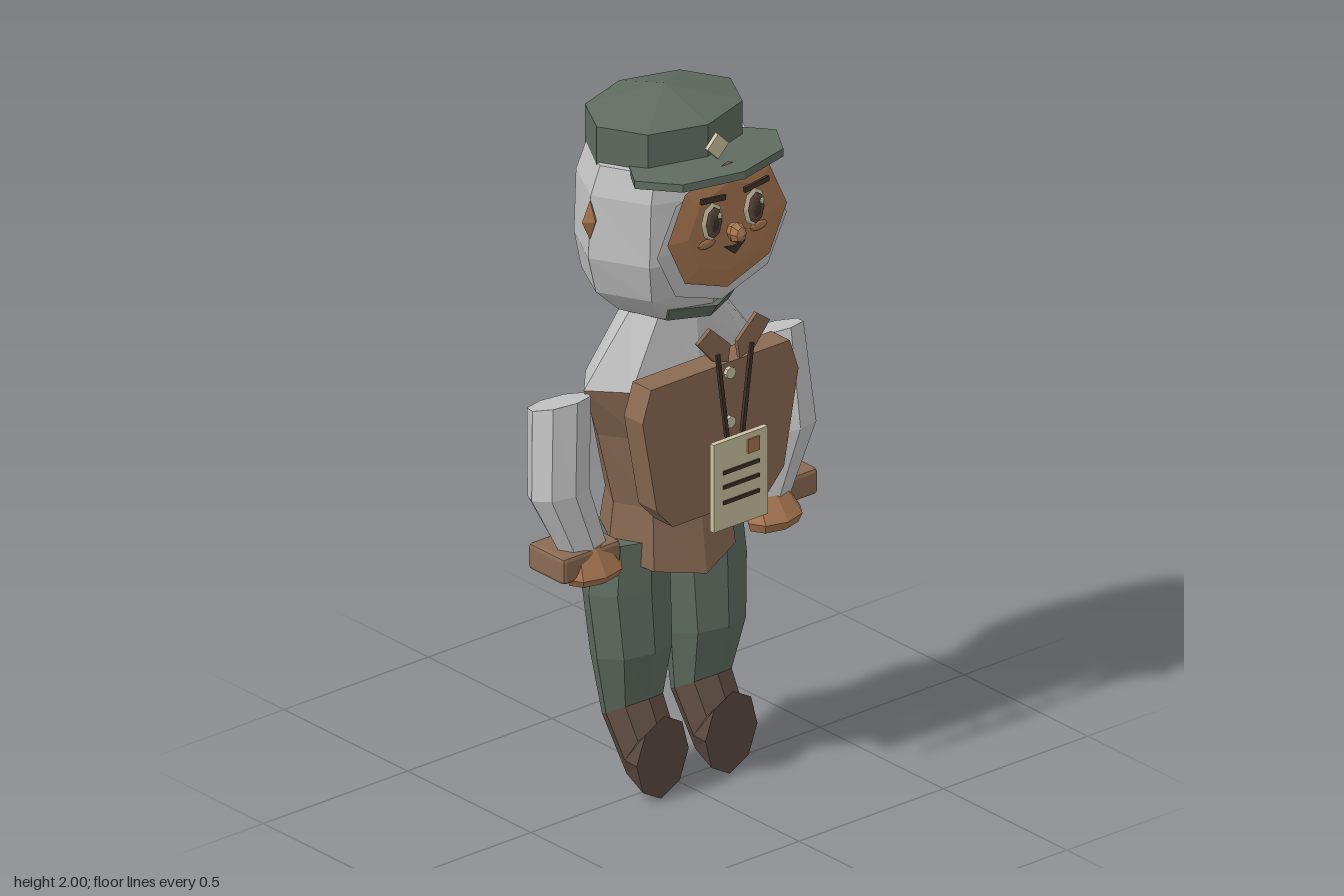
import * as THREE from 'three';
import { RoundedBoxGeometry } from 'three/addons/geometries/RoundedBoxGeometry.js';

function paint(name, color) {
  const m = new THREE.MeshStandardMaterial({ color, flatShading: true, side: THREE.DoubleSide });
  m.name = name;
  return m;
}

// Eight-sided skin over rings [xCentre, xRadius, zFront, yFront, zBack, yBack, sideLift], listed from top to bottom
function loft(rings, segments = [0, 1, 2, 3, 4, 5, 6, 7], caps = true) {
  const pos = [];
  const pt = ([xc, rx, zf, yf, zb, yb, lift = 0], i) => {
    const a = (i * Math.PI) / 4, s = Math.sin(a), c = Math.cos(a);
    return [xc + rx * c, (yf + yb) / 2 + ((yf - yb) / 2) * s + lift * c * c, (zf + zb) / 2 + ((zf - zb) / 2) * s];
  };
  const mid = ([xc, , zf, yf, zb, yb]) => [xc, (yf + yb) / 2, (zf + zb) / 2];
  for (let j = 0; j < rings.length - 1; j++) {
    for (const i of segments) {
      const a = pt(rings[j], i), b = pt(rings[j], i + 1), c = pt(rings[j + 1], i), d = pt(rings[j + 1], i + 1);
      pos.push(...a, ...b, ...c, ...b, ...d, ...c);
    }
  }
  if (caps) {
    const top = rings[0], end = rings[rings.length - 1];
    for (const i of segments) {
      pos.push(...mid(top), ...pt(top, i + 1), ...pt(top, i));
      pos.push(...mid(end), ...pt(end, i), ...pt(end, i + 1));
    }
  }
  const g = new THREE.BufferGeometry();
  g.setAttribute('position', new THREE.Float32BufferAttribute(pos, 3));
  g.computeVertexNormals();
  return g;
}

// Flattened eight-sided lens facing +z
const lens = (rx, ry, rz) => new THREE.SphereGeometry(1, 8, 4).rotateX(Math.PI / 2).scale(rx, ry, rz);

function plate(points, depth) {
  const shape = new THREE.Shape(points.map(([x, y]) => new THREE.Vector2(x, y)));
  return new THREE.ExtrudeGeometry(shape, { depth, bevelEnabled: false });
}

export function createModel() {
  const green = paint('uniform green', 0x5f6c60);
  const grey = paint('light grey', 0xc2c2c2);
  const brown = paint('vest brown', 0x8b6b54);
  const skin = paint('skin', 0xa87650);
  const boot = paint('boot brown', 0x5c4a40);
  const cream = paint('cream', 0xcdc4a2);
  const dark = paint('dark brown', 0x40332b);

  const model = new THREE.Group();
  model.name = 'uniformedFigure';
  const body = new THREE.Group();
  body.name = 'body';
  body.position.x = 0.015;
  model.add(body);
  const add = (name, geometry, material, x = 0, y = 0, z = 0, rz = 0) => {
    const mesh = new THREE.Mesh(geometry, material);
    mesh.name = name;
    mesh.position.set(x, y, z);
    mesh.rotation.z = rz;
    body.add(mesh);
    return mesh;
  };
  const box = (w, h, d) => new THREE.BoxGeometry(w, h, d);

  // Cap: wall, low pointed crown, brim and diamond badge
  add('capBand', new THREE.CylinderGeometry(1, 1, 0.115, 8).scale(0.232, 1, 0.18), green, 0, 1.885, -0.065);
  add('capCrown', new THREE.ConeGeometry(1, 0.058, 8).scale(0.232, 1, 0.18), green, 0, 1.971, -0.065);
  const brim = add('capBrim', new THREE.CylinderGeometry(1, 1, 0.022, 8).scale(0.246, 1, 0.158), green, 0, 1.838, 0.105);
  brim.rotation.x = -0.06;
  add('capBadge', box(0.052, 0.052, 0.012), cream, 0, 1.893, 0.15, Math.PI / 4);

  // Head with hood-like hair, beard plate and face
  add('head', loft([
    [0, 0.24, 0.155, 1.84, -0.24, 1.84],
    [0, 0.268, 0.168, 1.76, -0.262, 1.76],
    [0, 0.277, 0.17, 1.58, -0.263, 1.58],
    [0, 0.245, 0.148, 1.47, -0.255, 1.47],
    [0, 0.165, 0.12, 1.395, -0.23, 1.395],
  ]), grey);
  add('beard', lens(0.225, 0.185, 0.008), grey, 0, 1.64, 0.17);
  add('face', lens(0.207, 0.182, 0.018), skin, 0, 1.68, 0.192);
  add('neckerchief', loft([
    [0, 0.165, 0.152, 1.43, -0.243, 1.43],
    [0, 0.15, 0.125, 1.39, -0.22, 1.39],
  ]), green);

  // Facial features
  add('nose', lens(0.024, 0.03, 0.03), skin, 0, 1.67, 0.23);
  add('mouth', plate([[-0.036, 1.635], [0, 1.628], [0.036, 1.635], [0, 1.605]], 0.006), dark, 0, 0, 0.218);
  add('moustache', box(0.022, 0.008, 0.006), dark, 0, 1.648, 0.222);
  for (const s of [-1, 1]) {
    const side = s > 0 ? 'left' : 'right';
    add(side + 'Ear', new THREE.OctahedronGeometry(1).scale(0.028, 0.058, 0.022), skin, s * 0.274, 1.692, -0.043);
    add(side + 'EyeWhite', lens(0.038, 0.055, 0.006), cream, s * 0.073, 1.718, 0.216);
    add(side + 'Iris', lens(0.028, 0.046, 0.006), boot, s * 0.073, 1.718, 0.224);
    add(side + 'Pupil', lens(0.014, 0.024, 0.004), dark, s * 0.073, 1.715, 0.23);
    add(side + 'EyeGlint', lens(0.008, 0.01, 0.003), cream, s * 0.073 + 0.012, 1.738, 0.234);
    add(side + 'Brow', box(0.085, 0.015, 0.008), dark, s * 0.075, 1.785, 0.222, s * 0.12);
    add(side + 'Cheek', lens(0.032, 0.014, 0.005), skin, s * 0.09, 1.657, 0.214);
  }

  // Torso: grey shoulders in front and at the sides, brown coat behind and below
  const neck = [0, 0.14, 0.065, 1.4, -0.13, 1.4], chest = [0, 0.293, 0.085, 1.2, -0.178, 1.2];
  add('shirtShoulders', loft([neck, chest], [7, 0, 1, 2, 3, 4], false), grey);
  add('coatYoke', loft([neck, chest], [5, 6], false), brown);
  add('coat', loft([
    chest,
    [0, 0.235, 0.09, 1.05, -0.208, 1.05],
    [0, 0.185, 0.085, 0.84, -0.19, 0.84],
    [0, 0.2, 0.11, 0.635, -0.226, 0.635, 0.06],
  ], undefined, false), brown);
  add('chestPanel', plate([
    [-0.24, 1.26], [-0.27, 1.17], [-0.22, 0.9], [-0.165, 0.84],
    [0.165, 0.84], [0.22, 0.9], [0.27, 1.17], [0.24, 1.26],
  ], 0.075), brown, 0, 0, 0.09);

  // Collar tips, buttons and hanging pass
  for (const s of [-1, 1]) {
    const side = s > 0 ? 'left' : 'right';
    add(side + 'CollarTip', plate([
      [s * 0.125, 1.375], [s * 0.08, 1.408], [s * 0.012, 1.345], [s * 0.02, 1.295], [s * 0.07, 1.31],
    ], 0.012), brown, 0, 0, 0.208);
    add(side + 'Cord', box(0.011, 0.25, 0.01), dark, s * 0.043, 1.205, 0.222, -s * 0.13);
  }
  for (const y of [1.253, 1.11, 0.97]) {
    add('button', new THREE.CylinderGeometry(0.017, 0.017, 0.012, 8).rotateX(Math.PI / 2), cream, 0, y, 0.203);
  }
  add('passCard', box(0.187, 0.255, 0.016), cream, 0, 0.957, 0.239);
  add('passPhoto', box(0.04, 0.04, 0.006), skin, 0.042, 1.047, 0.249);
  for (const y of [0.995, 0.953, 0.908]) add('passLine', box(0.125, 0.01, 0.006), dark, 0, y, 0.249);

  // Arms and hands, each with its own bend
  const rightArm = [
    [-0.363, 0.092, 0.01, 1.205, -0.14, 1.16],
    [-0.39, 0.093, 0.035, 0.95, -0.105, 0.93],
    [-0.328, 0.076, 0.045, 0.765, -0.065, 0.775],
  ];
  const leftArm = [
    [0.368, 0.09, 0.02, 1.205, -0.14, 1.15],
    [0.333, 0.1, 0.1, 0.95, -0.03, 0.92],
    [0.25, 0.08, 0.105, 0.76, -0.015, 0.775],
  ];
  add('rightArm', loft(rightArm), grey);
  add('leftArm', loft(leftArm), grey);
  add('rightHand', loft([
    [-0.328, 0.065, 0.045, 0.785, -0.05, 0.785],
    [-0.322, 0.095, 0.08, 0.71, -0.02, 0.72],
    [-0.322, 0.085, 0.07, 0.69, -0.01, 0.7],
  ]), skin);
  add('leftHand', loft([
    [0.25, 0.068, 0.1, 0.785, 0, 0.785],
    [0.252, 0.09, 0.145, 0.72, 0.03, 0.725],
    [0.25, 0.08, 0.135, 0.695, 0.04, 0.7],
  ]), skin);

  // Small side pouches, trousers and forward-curled boots
  for (const s of [-1, 1]) {
    const side = s > 0 ? 'left' : 'right', x = s * 0.128, foot = s * 0.119;
    add(side + 'Pouch', new RoundedBoxGeometry(0.2, 0.077, 0.147, 1, 0.012), brown, s * 0.342, 0.747, -0.027);
    const ankle = [foot, 0.092, 0.015, 0.273, -0.12, 0.2];
    add(side + 'TrouserLeg', loft([
      [x, 0.115, 0.035, 0.74, -0.165, 0.74],
      [x * 1.03, 0.13, 0.04, 0.6, -0.165, 0.58],
      [x, 0.118, 0.05, 0.42, -0.145, 0.39],
      ankle,
    ]), green);
    add(side + 'Boot', loft([
      ankle,
      [foot, 0.088, 0.052, 0.2, -0.013, 0.045],
      [foot, 0.09, 0.077, 0.245, 0.063, 0],
    ]), boot);
  }
  return model;
}
